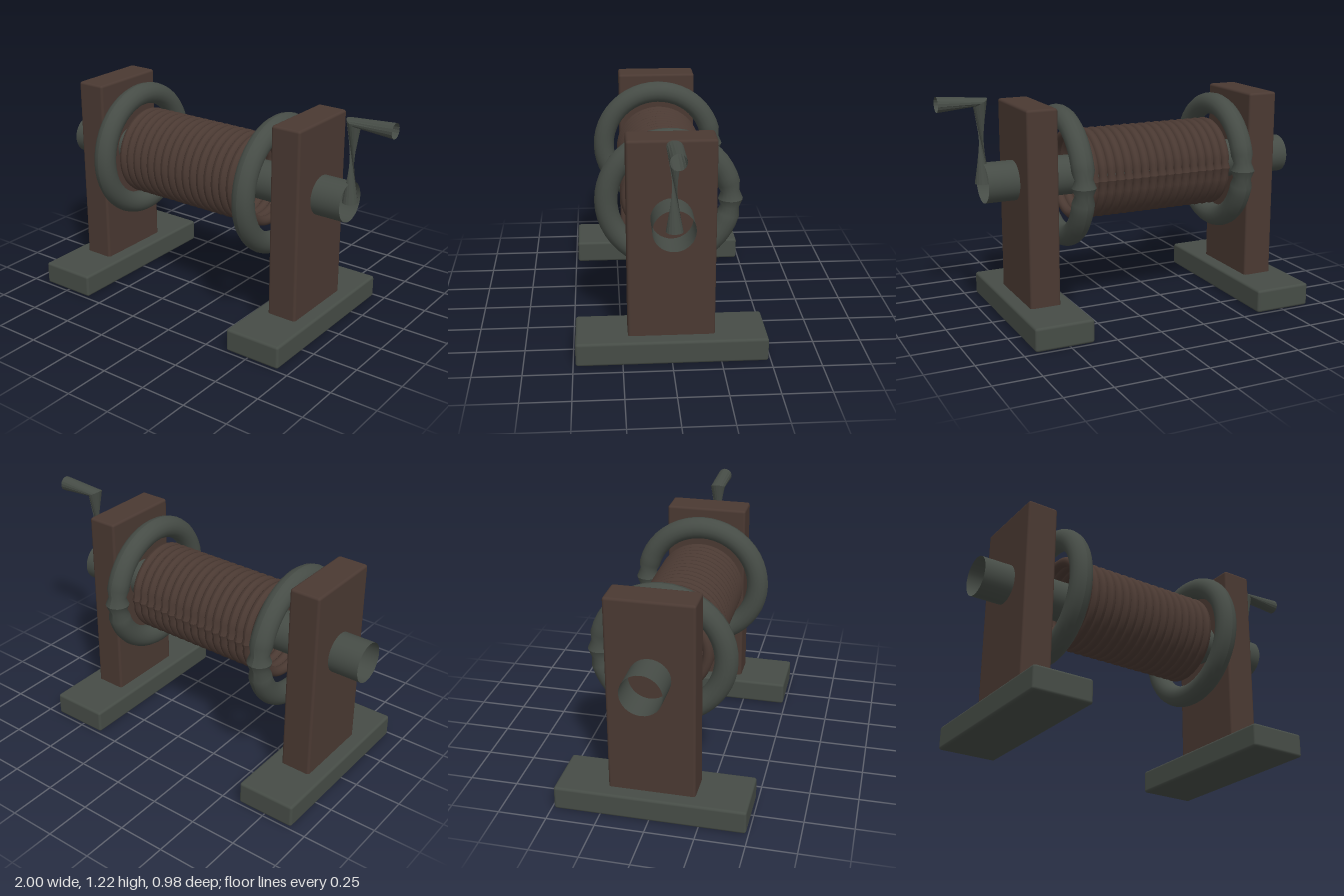
import * as THREE from 'three';
import { RoundedBoxGeometry } from 'three/addons/geometries/RoundedBoxGeometry.js';

const AXLE_Y = 0.76;

// Hoop around the x axis, with a small kink where the tube closes at the back
function hoopGeometry(major, minor, tubeSides, steps) {
  const geo = new THREE.TorusGeometry(major, minor, tubeSides, steps);
  const p = geo.attributes.position;
  for (let i = 0; i < p.count; i++) {
    const step = Math.round((Math.atan2(p.getY(i), p.getX(i)) / (2 * Math.PI)) * steps);
    const a = (Math.round(i % (steps + 1)) / steps) * 2 * Math.PI;
    const k = Math.abs(step) === 1 ? 0.8 : step === 0 ? 1.08 : 1;
    const cx = Math.cos(a) * major, cy = Math.sin(a) * major;
    p.setXYZ(i, cx + (p.getX(i) - cx) * k, cy + (p.getY(i) - cy) * k, p.getZ(i) * k);
  }
  geo.rotateY(Math.PI / 2); // hoop axis along x, kink at -z
  geo.computeVertexNormals();
  return geo;
}

// Open tube skinned over rings: centre, two half-axis vectors and a twist
function skinRings(rings, sides) {
  const pos = [], idx = [];
  for (const { c, u, v, twist } of rings) {
    for (let j = 0; j < sides; j++) {
      const a = (j / sides) * 2 * Math.PI + twist;
      for (let k = 0; k < 3; k++) pos.push(c[k] + u[k] * Math.cos(a) + v[k] * Math.sin(a));
    }
  }
  for (let i = 0; i < rings.length - 1; i++) {
    for (let j = 0; j < sides; j++) {
      const a = i * sides + j, b = i * sides + ((j + 1) % sides);
      idx.push(a, a + sides, b, b, a + sides, b + sides);
    }
  }
  const geo = new THREE.BufferGeometry();
  geo.setAttribute('position', new THREE.Float32BufferAttribute(pos, 3));
  geo.setIndex(idx);
  const flat = geo.toNonIndexed();
  flat.computeVertexNormals();
  return flat;
}

export function createModel() {
  const model = new THREE.Group();
  model.name = 'winch';
  const wood = new THREE.MeshStandardMaterial({ name: 'dark brown wood', color: 0x4a3932 });
  const rope = new THREE.MeshStandardMaterial({ name: 'brown rope', color: 0x4a3932 });
  const iron = new THREE.MeshStandardMaterial({ name: 'grey green iron', color: 0x464c46, side: THREE.DoubleSide });

  const add = (name, geo, mat, x, y, z = 0) => {
    const mesh = new THREE.Mesh(geo, mat);
    mesh.name = name;
    mesh.position.set(x, y, z);
    model.add(mesh);
    return mesh;
  };

  // Posts on their feet
  const footGeo = new RoundedBoxGeometry(0.317, 0.125, 0.975, 2, 0.014);
  const postGeo = new RoundedBoxGeometry(0.166, 1.075, 0.442, 2, 0.014);
  for (const [side, x] of [['right', -0.753], ['left', 0.527]]) {
    add(side + 'Foot', footGeo, iron, x, 0.0625);
    add(side + 'Post', postGeo, wood, x, 0.618);
  }

  // Hollow axle
  const axleGeo = new THREE.CylinderGeometry(0.105, 0.105, 1.775, 32, 1, true);
  axleGeo.rotateZ(Math.PI / 2);
  add('axle', axleGeo, iron, -0.1125, AXLE_Y);

  // Drum end hoops
  const hoopGeo = hoopGeometry(0.317, 0.059, 16, 48);
  add('rightHoop', hoopGeo, iron, -0.576, AXLE_Y);
  add('leftHoop', hoopGeo, iron, 0.349, AXLE_Y);

  // Rope turns
  const turnGeo = hoopGeometry(0.215, 0.026, 12, 48);
  const turns = 18;
  for (let i = 0; i < turns; i++) {
    add('ropeTurn' + (i + 1), turnGeo, rope, -0.526 + i * 0.0483, AXLE_Y);
  }

  // Crank: arm twisted into a narrow waist, then a flared open handle
  const twist = 2.9;
  const crankGeo = skinRings([
    { c: [0.775, 0.76, 0], u: [0.04, 0, 0], v: [0, 0, 0.042], twist: 0 },
    { c: [0.775, 1.177, 0], u: [0.036, -0.02, 0], v: [0, 0, 0.04], twist },
    { c: [1.0, 1.178, 0], u: [0, -0.04, 0], v: [0, 0, 0.04], twist },
  ], 16);
  add('crank', crankGeo, iron, 0, 0);

  return model;
}
